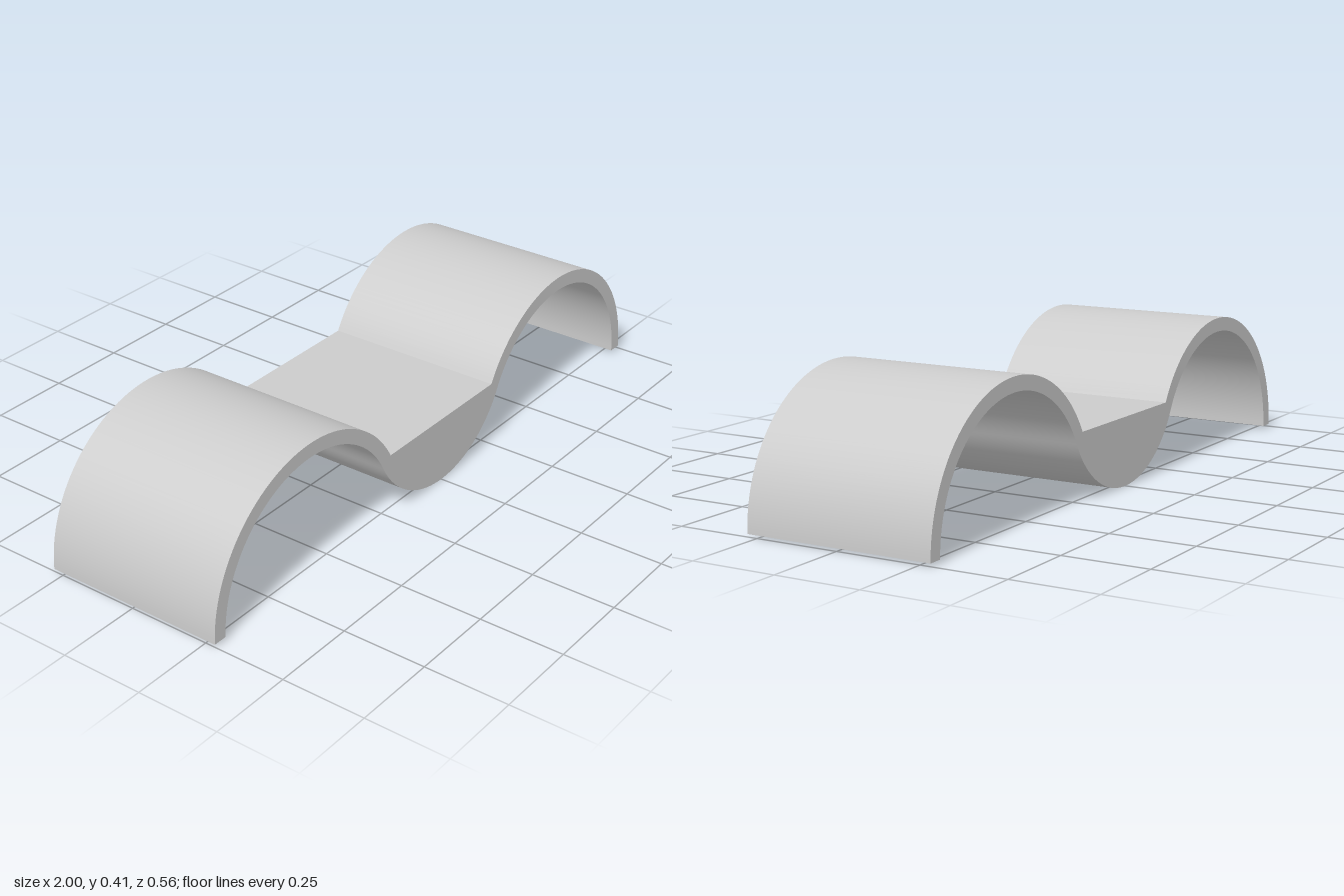
import * as THREE from 'three';
import { toCreasedNormals } from 'three/addons/utils/BufferGeometryUtils.js';

const ARCH_X = 0.6, ARCH_Y = 0.008;      // arch centres
const OUTER = 0.398, INNER = 0.358;      // arch radii
const DECK_Y = 0.2;                      // flat top between the arches
const DEPTH = 0.562;

// Radius of a belly that rests on y = 0 and runs smoothly into the inner arches
const BELLY = (ARCH_X ** 2 + ARCH_Y ** 2 - INNER ** 2) / (2 * (INNER + ARCH_Y));

function createProfile() {
  const join = Math.atan2(BELLY - ARCH_Y, ARCH_X);       // slope of the line between arc centres
  const deck = Math.asin((DECK_Y - ARCH_Y) / OUTER);     // where the outer arc meets the deck
  const shape = new THREE.Shape();
  // upper outline, from the left foot over both arches
  shape.absarc(ARCH_X, ARCH_Y, OUTER + 0.002, 0, Math.PI - deck, false);
  shape.absarc(-ARCH_X, ARCH_Y, OUTER + 0.002, deck, Math.PI, false);
  // underside: inner arch, belly, inner arch
  shape.absarc(-ARCH_X, ARCH_Y, INNER, Math.PI, join, true);
  shape.absarc(0, BELLY, BELLY, Math.PI + join, 2 * Math.PI - join, false);
  shape.absarc(ARCH_X, ARCH_Y, INNER, Math.PI - join, 0, true);
  shape.closePath();
  return shape;
}

export function createModel() {
  const group = new THREE.Group();
  group.name = 'doubleArch';

  // Both arches and the solid middle are one continuous extruded body
  const extruded = new THREE.ExtrudeGeometry(createProfile(), {
    depth: DEPTH, bevelEnabled: false, curveSegments: 32,
  });
  extruded.translate(0, 0, -DEPTH / 2);
  const body = new THREE.Mesh(
    toCreasedNormals(extruded, 0.5),
    new THREE.MeshStandardMaterial({ color: 0xcccccc }),
  );
  body.name = 'archedBody';
  group.add(body);
  return group;
}
